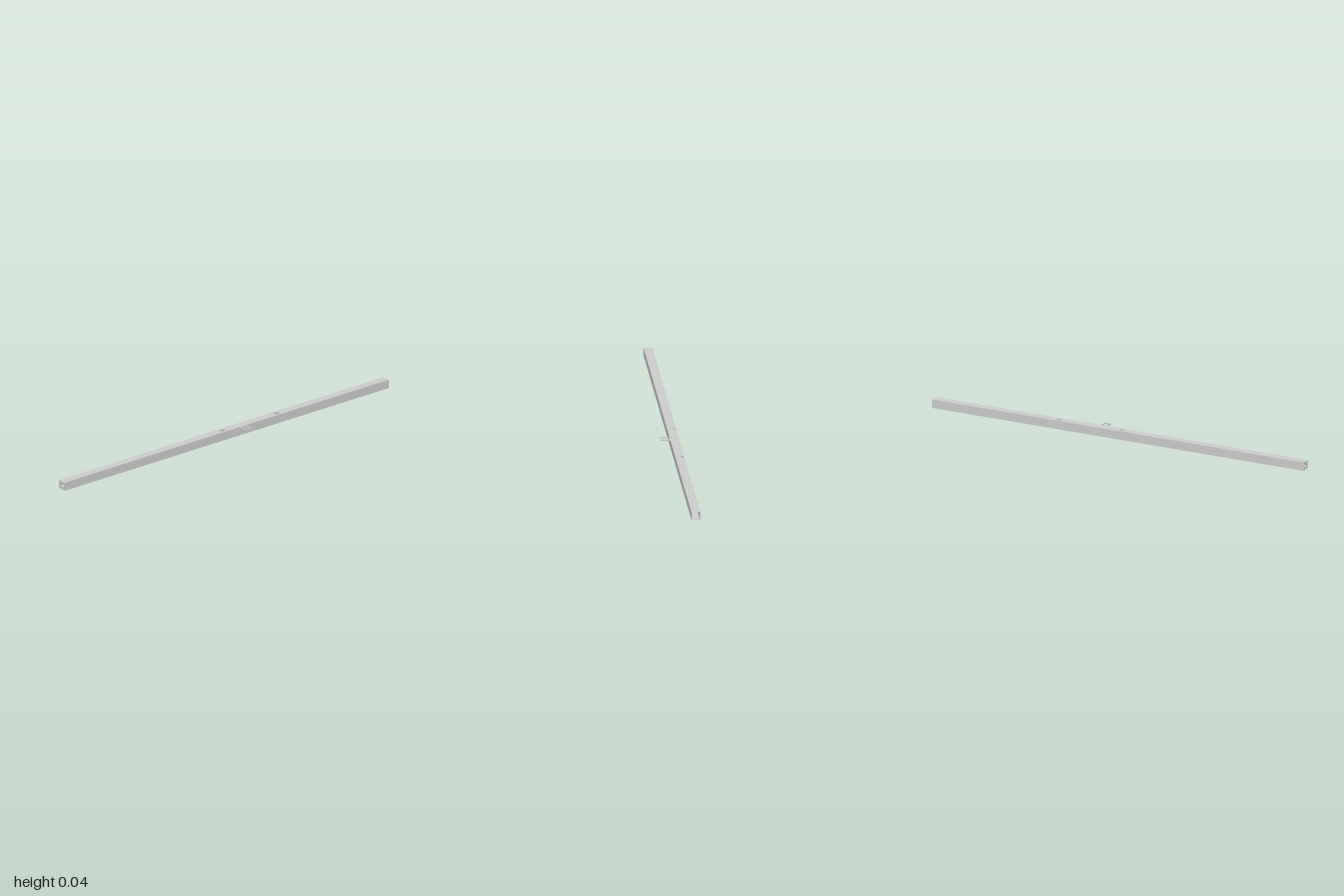
import * as THREE from 'three';

const S = 0.042;      // outer side of the square tube
const WALL = 0.0016;  // tube wall thickness
const ZC = -0.0215;   // tube axis
const YC = S / 2;

export function createModel() {
  const group = new THREE.Group();
  const material = new THREE.MeshStandardMaterial({ color: 0xcccccc, side: THREE.DoubleSide });

  function add(name, geometry, x, y, z) {
    const mesh = new THREE.Mesh(geometry, material);
    mesh.name = name;
    mesh.position.set(x, y, z);
    group.add(mesh);
    return mesh;
  }

  // Horizontal plate with round holes, given as [x, radius]; its bottom is at y = 0
  function plate(holes) {
    const h = S / 2;
    const shape = new THREE.Shape([[-1, -h], [1, -h], [1, h], [-1, h]].map(p => new THREE.Vector2(...p)));
    for (const [x, r] of holes) {
      shape.holes.push(new THREE.Path().absarc(x, 0, r, 0, Math.PI * 2, true));
    }
    return new THREE.ExtrudeGeometry(shape, { depth: WALL, bevelEnabled: false, curveSegments: 24 })
      .rotateX(-Math.PI / 2);
  }

  // Square tube, open at both ends, with two holes drilled right through
  const drilled = [[-0.01, 0.013], [0.325, 0.015]];
  add('topWall', plate(drilled), 0, S - WALL, ZC);
  add('bottomWall', plate(drilled), 0, 0, ZC);
  for (const [name, side] of [['frontWall', 1], ['backWall', -1]]) {
    add(name, new THREE.BoxGeometry(2, S - 2 * WALL, WALL), 0, YC, ZC + side * (S - WALL) / 2);
  }

  // Round bushing with a chamfered rim, set inside one end of the tube
  const profile = [[0.009, -0.02], [0.017, -0.02], [0.019, -0.018], [0.019, 0.018],
    [0.017, 0.02], [0.009, 0.02], [0.009, -0.02]].map(p => new THREE.Vector2(...p));
  // Doubled corner points keep the lathe edges crisp
  for (let i = 0; i < profile.length - 1; i++) {
    const ring = new THREE.LatheGeometry([profile[i], profile[i + 1]], 40).rotateZ(Math.PI / 2);
    add('bushing', ring, -0.975, YC, ZC);
  }

  // Flat U-shaped catch on the front, level with the top
  const w = 0.018, reach = 0.043, bar = 0.007;
  const catchShape = new THREE.Shape([
    [-w, 0], [-w, -reach], [w, -reach], [w, 0],
    [w - bar, 0], [w - bar, bar - reach], [bar - w, bar - reach], [bar - w, 0],
  ].map(p => new THREE.Vector2(...p)));
  const catchGeometry = new THREE.ExtrudeGeometry(catchShape, { depth: 0.005, bevelEnabled: false })
    .rotateX(-Math.PI / 2);
  add('catch', catchGeometry, 0.1, S - 0.005, -0.0005);

  return group;
}
